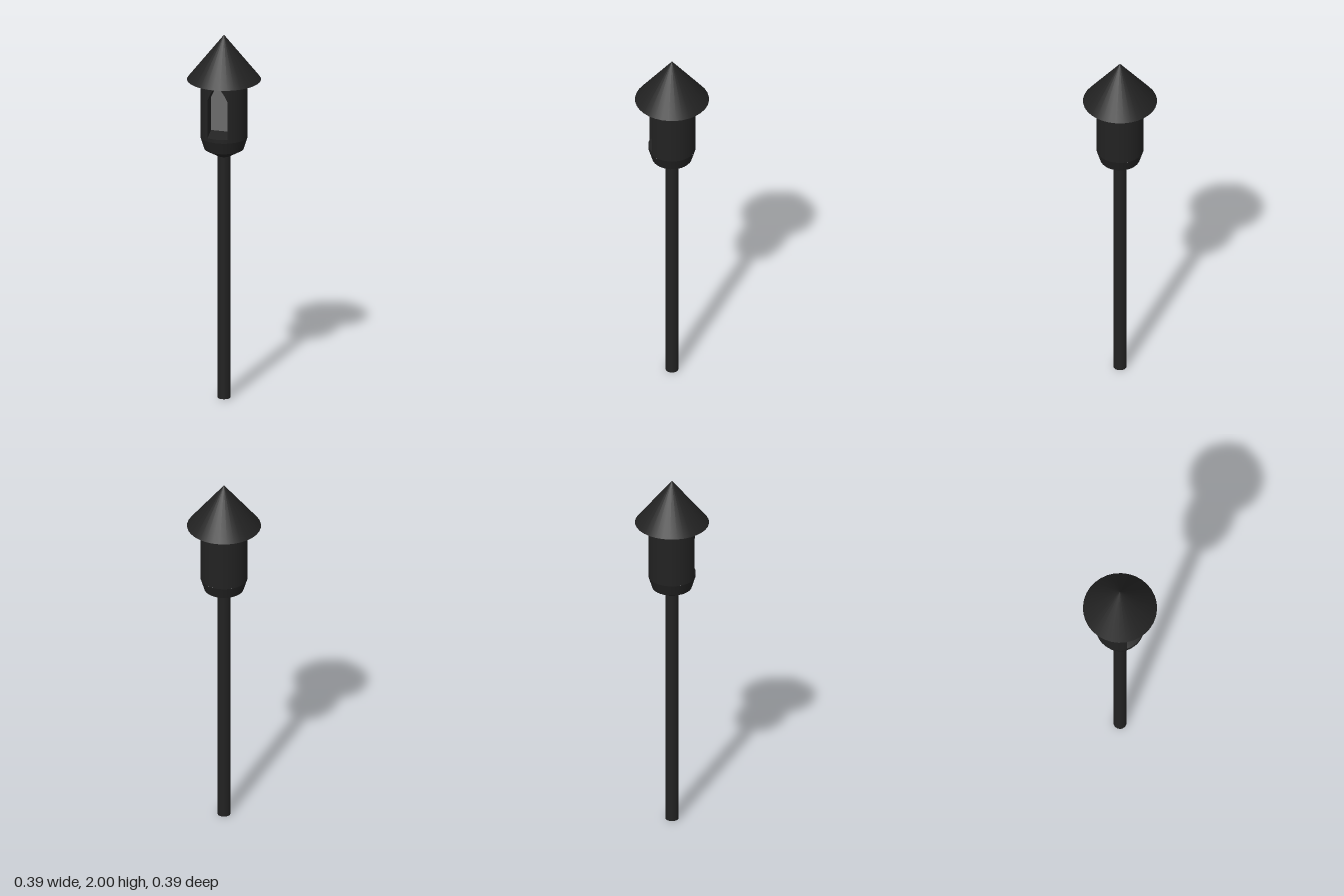
import * as THREE from 'three';

const SIDES = 32;
const R = 0.124;                      // housing radius
const BOTTOM = 1.44, TOP = 1.755;     // housing height range
const HALF = 0.055;                   // half width of the window
const SILL = 1.46, SILL_IN = 1.485;   // sill height outside and inside
const SPRING = 1.667, RISE = 0.08;    // arch
const PANE_Z = 0.05;

// Strip of quads between two rows of points; it faces (along the row) x (from a to b).
function ribbon(a, b) {
  const n = a.length, index = [];
  for (let i = 0; i < n - 1; i++) index.push(i, i + 1, n + i + 1, i, n + i + 1, n + i);
  const geo = new THREE.BufferGeometry();
  geo.setAttribute('position', new THREE.Float32BufferAttribute([...a, ...b].flat(), 3));
  geo.setIndex(index);
  geo.computeVertexNormals();
  return geo;
}

export function createModel() {
  const model = new THREE.Group();
  model.name = 'gardenTorch';
  const metal = new THREE.MeshStandardMaterial({ color: 0x222222 });
  const glass = new THREE.MeshStandardMaterial({ color: 0x6a6a6a });

  const add = (name, geo, material = metal, y = 0, parent = model) => {
    const mesh = new THREE.Mesh(geo, material);
    mesh.name = name;
    mesh.position.y = y;
    parent.add(mesh);
  };
  // Round section between two heights
  const section = (name, r0, y0, r1, y1, open = true, sides = SIDES) =>
    add(name, new THREE.CylinderGeometry(r1, r0, y1 - y0, sides, 1, open), metal, (y0 + y1) / 2);

  // Pole, lower housing and conical roof
  section('pole', 0.034, 0, 0.034, 1.36, false, 24);
  section('housingUnderside', 0.034, 1.335, 0.104, 1.375);
  section('housingTaper', 0.104, 1.375, R, BOTTOM);
  add('roof', new THREE.ConeGeometry(0.194, 2 - TOP, SIDES), metal, (2 + TOP) / 2);

  // Housing wall, left open at the front for the window
  const gap = Math.asin(HALF / R);
  add('housingWall', new THREE.CylinderGeometry(R, R, TOP - BOTTOM, SIDES, 1, true, gap, 2 * Math.PI - 2 * gap),
    metal, (TOP + BOTTOM) / 2);

  // Window: rows of points across its width
  const windowGroup = new THREE.Group();
  windowGroup.name = 'window';
  model.add(windowGroup);
  const arch = (x) => SPRING + RISE * (1 - Math.pow(Math.abs(x) / HALF, 1.7));
  const wallZ = (x) => Math.sqrt(R * R - x * x);
  const row = (y, z) => Array.from({ length: 13 }, (_, i) => {
    const x = HALF * (i / 6 - 1);
    return [x, y(x), z(x)];
  });
  const at = (v) => () => v;
  const sillOut = row(at(SILL), wallZ), sillIn = row(at(SILL_IN), at(PANE_Z));
  const archIn = row(arch, at(PANE_Z)), archOut = row(arch, wallZ);
  const part = (name, a, b, material) => add(name, ribbon(a, b), material, 0, windowGroup);

  part('wallBelowWindow', row(at(BOTTOM), wallZ), sillOut);
  part('windowSill', sillOut, sillIn);
  part('windowPane', sillIn, archIn, glass);
  part('windowArch', archIn, archOut);
  part('wallAboveWindow', archOut, row(at(TOP), wallZ));

  // Window jambs, facing inwards
  for (const side of [-1, 1]) {
    const x = side * HALF, z = wallZ(HALF);
    const inner = [[x, SILL_IN, PANE_Z], [x, SPRING, PANE_Z]];
    const outer = [[x, SILL, z], [x, SPRING, z]];
    if (side < 0) part('rightJamb', inner, outer);
    else part('leftJamb', outer, inner);
  }
  return model;
}
